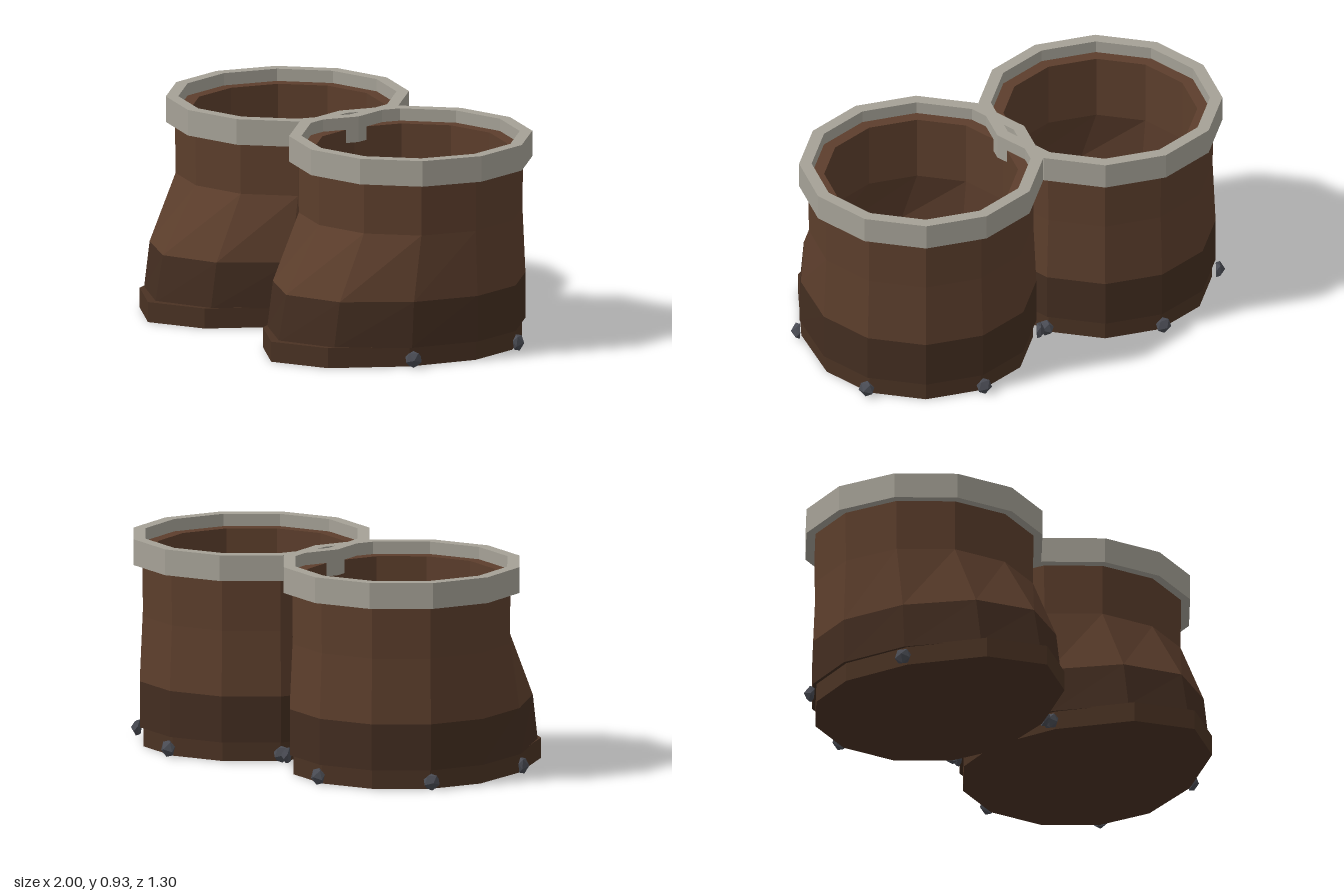
import * as THREE from 'three';

const SIDES = 12;
const mat = (color) => new THREE.MeshStandardMaterial({ color, flatShading: true });
const leather = mat(0x5c3e2c);
const footLeather = mat(0x432d20);
const soleLeather = mat(0x4a3223);
const trim = mat(0xa5a196);
const metal = mat(0x4a4c54);

// Lofts twelve-sided rings given as [y, radius, toe]; toe pushes the front half forward
function loft(rings) {
  const pos = [];
  const point = ([y, r, toe = 0], j) => {
    const a = (j / SIDES) * Math.PI * 2;
    const front = Math.max(0, Math.cos(a));
    return [r * Math.sin(a), y, r * Math.cos(a) + toe * front * front];
  };
  for (let i = 0; i < rings.length - 1; i++) {
    const lower = rings[i], upper = rings[i + 1];
    for (let j = 0; j < SIDES; j++) {
      const a = point(lower, j), b = point(lower, j + 1);
      const c = point(upper, j + 1), d = point(upper, j);
      if (lower[1] > 0) pos.push(...a, ...b, ...c);
      if (upper[1] > 0) pos.push(...a, ...c, ...d);
    }
  }
  const geo = new THREE.BufferGeometry();
  geo.setAttribute('position', new THREE.Float32BufferAttribute(pos, 3));
  geo.computeVertexNormals();
  return geo;
}

// Faceted stud with a pointed front (+z) and a flat back
function studGeometry() {
  const geo = new THREE.IcosahedronGeometry(0.04, 0);
  geo.rotateX(Math.atan(2 / (1 + Math.sqrt(5))));
  const p = geo.attributes.position;
  for (let i = 0; i < p.count; i++) p.setZ(i, Math.max(0, p.getZ(i)));
  geo.computeVertexNormals();
  return geo;
}

function createBoot() {
  const boot = new THREE.Group();
  const add = (name, geo, material) => {
    const mesh = new THREE.Mesh(geo, material);
    mesh.name = name;
    boot.add(mesh);
    return mesh;
  };

  // Thick sole slab, longest at the toe
  add('sole', loft([[0.01, 0], [0.01, 0.49, 0.26], [0.1, 0.49, 0.26], [0.1, 0]]), soleLeather);

  // Dark lower band around the foot
  add('foot', loft([[0.095, 0], [0.095, 0.505, 0.205], [0.3, 0.505, 0.165]]), footLeather);

  // Shaft: outer wall, rim, hollow inner wall and insole
  add('shaft', loft([
    [0.3, 0.505, 0.165], [0.59, 0.492], [0.88, 0.495],
    [0.88, 0.425], [0.59, 0.425], [0.3, 0.435, 0.165], [0.11, 0.435, 0.2], [0.11, 0],
  ]), leather);

  // Cuff ring round the opening
  add('cuff', loft([
    [0.82, 0.48], [0.82, 0.535], [0.935, 0.535], [0.935, 0.48], [0.82, 0.48],
  ]), trim);

  // Studs round the sides and heel
  const geo = studGeometry();
  for (const deg of [60, 120, 180, 240, 300]) {
    const a = THREE.MathUtils.degToRad(deg);
    const stud = add('stud', geo, metal);
    const forward = Math.cos(a) > 0.1 ? 0.045 : 0;
    stud.position.set(0.507 * Math.sin(a), 0.045, 0.507 * Math.cos(a) + forward);
    stud.rotation.y = a;
  }
  return boot;
}

export function createModel() {
  const model = new THREE.Group();
  model.name = 'boots';
  for (const [name, x] of [['leftBoot', 0.465], ['rightBoot', -0.465]]) {
    const boot = createBoot();
    boot.name = name;
    boot.position.set(x, 0, -0.1);
    model.add(boot);
  }
  return model;
}
